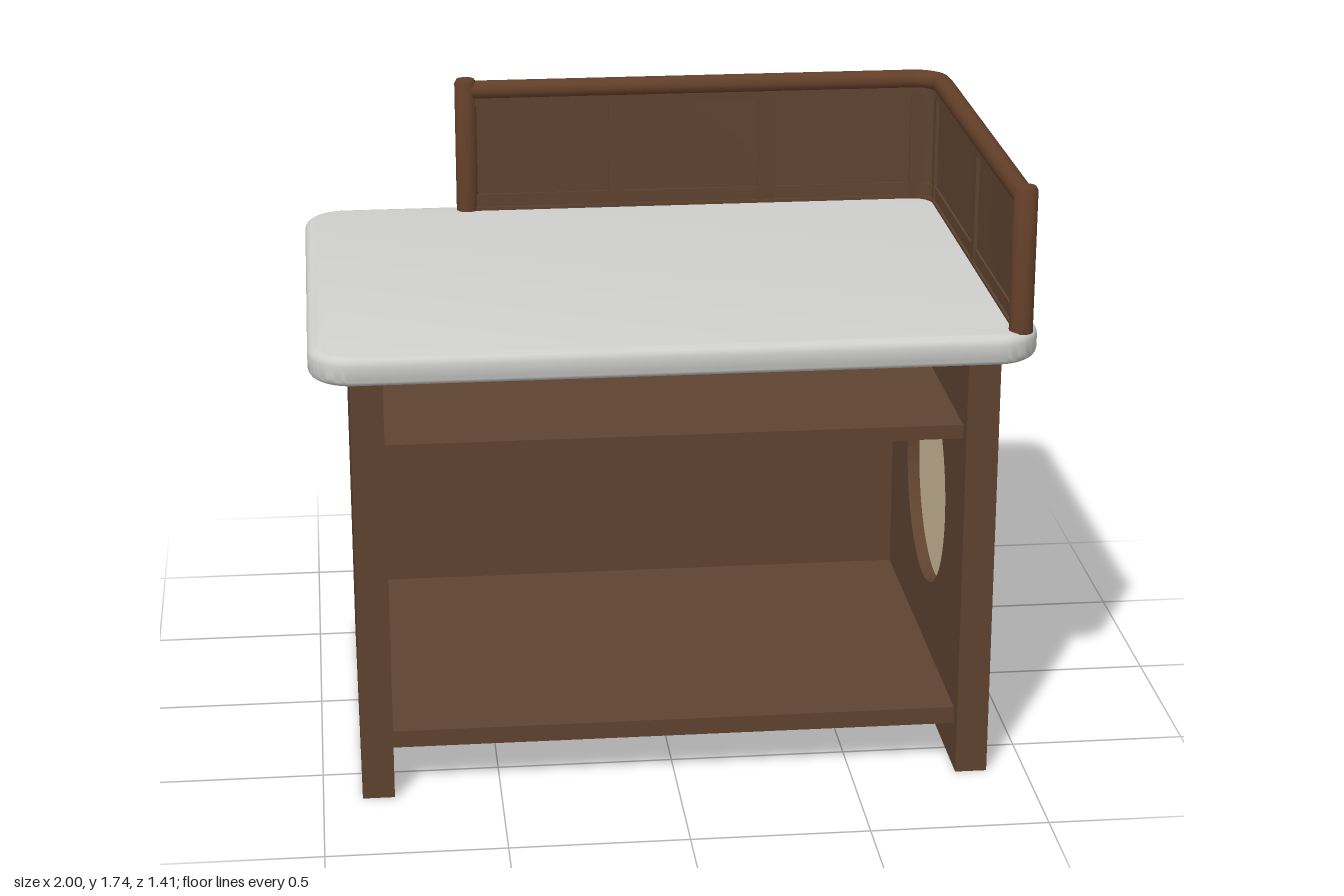
import * as THREE from 'three';
import { toCreasedNormals } from 'three/addons/utils/BufferGeometryUtils.js';

const mat = (name, color, side = THREE.FrontSide) => {
  const m = new THREE.MeshStandardMaterial({ color, side });
  m.name = name;
  return m;
};

export function createModel() {
  const wood = mat('walnut wood', 0x5f4330);
  const trim = mat('trim wood', 0x623f29);
  const stone = mat('pale stone', 0xcfcfcd);
  const paper = mat('cream paper', 0xcfba9c);
  const bamboo = mat('bamboo green', 0x56902f);
  const cut = mat('cut end brown', 0x4a3220);

  const model = new THREE.Group();
  model.name = 'counter';
  const add = (name, geo, material, x = 0, y = 0, z = 0, parent = model) => {
    const m = new THREE.Mesh(geo, material);
    m.name = name;
    m.position.set(x, y, z);
    parent.add(m);
    return m;
  };
  // Box given by its min and max corners
  const box = (name, material, [x0, y0, z0], [x1, y1, z1], parent) =>
    add(name, new THREE.BoxGeometry(x1 - x0, y1 - y0, z1 - z0), material,
      (x0 + x1) / 2, (y0 + y1) / 2, (z0 + z1) / 2, parent);

  // Small seeded generator for the uneven bamboo
  let seed = 7;
  const rand = () => (seed = (seed * 16807) % 2147483647) / 2147483647;

  // Cabinet
  box('leftPanel', wood, [-0.89, 0, -0.55], [-0.8, 1.24, 0.66]);
  box('backPanel', wood, [-0.8, 0, -0.55], [0.8, 1.24, -0.49]);
  box('lowerShelf', wood, [-0.8, 0.13, -0.49], [0.8, 0.18, 0.61]);
  box('upperShelf', wood, [-0.8, 1.0, -0.49], [0.8, 1.04, 0.61]);
  box('backPaper', paper, [-0.87, 0.1, -0.558], [0.87, 1.24, -0.55]);

  // Right panel with a round opening
  const WY = 0.68, WZ = 0.08, WR = 0.31;
  const side = new THREE.Shape();
  side.moveTo(-0.55, 0).lineTo(0.66, 0).lineTo(0.66, 1.24).lineTo(-0.55, 1.24).closePath();
  side.holes.push(new THREE.Path().absarc(WZ, WY, WR, 0, Math.PI * 2, true));
  const sideGeo = new THREE.ExtrudeGeometry(side, { depth: 0.09, bevelEnabled: false, curveSegments: 48 });
  sideGeo.rotateY(-Math.PI / 2);
  add('rightPanel', sideGeo, wood, 0.89);

  // Round window: ring, paper pane and lattice
  const win = new THREE.Group();
  win.name = 'roundWindow';
  win.position.set(0.89, WY, WZ);
  model.add(win);
  add('windowRing', new THREE.TorusGeometry(0.325, 0.028, 14, 64).rotateY(Math.PI / 2), trim, 0, 0, 0, win);
  add('windowPane', new THREE.CylinderGeometry(WR, WR, 0.008, 48).rotateZ(Math.PI / 2), paper, -0.05, 0, 0, win);
  for (const d of [-0.147, 0, 0.147]) {
    const len = 2 * Math.sqrt(WR * WR - d * d);
    const bar = new THREE.CylinderGeometry(0.01, 0.01, len, 8);
    add('latticeUpright', bar, trim, -0.022, 0, d, win);
    add('latticeCrossbar', bar.clone().rotateX(Math.PI / 2), trim, -0.017, d, 0, win);
  }

  // Worktop with rounded corners and edges
  const B = 0.025, X = 1 - B, Z = 0.705 - B, R = 0.1;
  const slab = new THREE.Shape();
  slab.absarc(X - R, Z - R, R, 0, Math.PI / 2);
  slab.absarc(-X + R, Z - R, R, Math.PI / 2, Math.PI);
  slab.absarc(-X + R, -Z + R, R, Math.PI, Math.PI * 1.5);
  slab.absarc(X - R, -Z + R, R, Math.PI * 1.5, Math.PI * 2);
  const slabGeo = new THREE.ExtrudeGeometry(slab, {
    depth: 0.085 - 2 * B, bevelSize: B, bevelThickness: B, bevelSegments: 4, curveSegments: 10,
  });
  slabGeo.rotateX(-Math.PI / 2);
  add('worktop', toCreasedNormals(slabGeo, 0.7), stone, 0, 1.24 + B, 0);

  // Railing that follows the back and right edges round one corner
  const rail = new THREE.Group();
  rail.name = 'railing';
  model.add(rail);
  const RX = 0.943, RZ = 0.66, C = 0.08, X0 = -0.505, Z1 = 0.645;
  const cx = RX - C, cy = RZ - C;
  const strip = (name, y0, y1, t) => {
    const s = new THREE.Shape();
    s.moveTo(X0, RZ + t).lineTo(cx, RZ + t);
    s.absarc(cx, cy, C + t, Math.PI / 2, 0, true);
    s.lineTo(RX + t, -Z1).lineTo(RX - t, -Z1).lineTo(RX - t, cy);
    s.absarc(cx, cy, C - t, 0, Math.PI / 2, false);
    s.lineTo(X0, RZ - t);
    const g = new THREE.ExtrudeGeometry(s, { depth: y1 - y0, bevelEnabled: false, curveSegments: 10 });
    g.rotateX(-Math.PI / 2);
    add(name, toCreasedNormals(g, 0.6), wood, 0, y0, 0, rail);
  };
  strip('railPanel', 1.32, 1.7, 0.01);
  strip('railLowerStrip', 1.32, 1.375 - 0.04, 0.022);
  strip('railLowerMoulding', 1.335, 1.375, 0.016);
  strip('railUpperStrip', 1.655, 1.7, 0.02);

  // Rounded handrail
  const path = new THREE.CurvePath();
  const v = (x, z) => new THREE.Vector3(x, 1.698, z);
  const K = C * 0.448;
  path.add(new THREE.LineCurve3(v(X0, -RZ), v(cx, -RZ)));
  path.add(new THREE.CubicBezierCurve3(v(cx, -RZ), v(RX - K, -RZ), v(RX, -RZ + K), v(RX, -cy)));
  path.add(new THREE.LineCurve3(v(RX, -cy), v(RX, Z1)));
  add('handrail', new THREE.TubeGeometry(path, 160, 0.03, 12), trim, 0, 0, 0, rail);

  // End posts with softened tops
  const postProfile = [[0, 0], [0.033, 0], [0.033, 0.402], [0.027, 0.413], [0, 0.416]]
    .map(([r, y]) => new THREE.Vector2(r, y));
  const postGeo = toCreasedNormals(new THREE.LatheGeometry(postProfile, 20), 0.6);
  add('endPost', postGeo, trim, X0, 1.32, -RZ, rail);
  add('endPost', postGeo, trim, RX, 1.32, Z1, rail);

  // Upright dividers on both sides of the panels
  for (const x of [-0.05, 0.41, 0.88])
    box('railDivider', wood, [x - 0.023, 1.32, -RZ - 0.02], [x + 0.023, 1.69, -RZ + 0.02], rail);
  for (const z of [0.04, -0.6])
    box('railDivider', wood, [RX - 0.02, 1.32, z - 0.023], [RX + 0.02, 1.69, z + 0.023], rail);

  // Bamboo screen: uneven upright canes with swollen joints
  const screen = new THREE.Group();
  screen.name = 'bambooScreen';
  model.add(screen);
  const COUNT = 22, H = 1.13;
  for (let i = 0; i < COUNT; i++) {
    const cane = new THREE.Group();
    cane.name = 'bambooCane';
    const r = 0.025 + rand() * 0.005;
    const pts = [new THREE.Vector2(r, 0)];
    const first = 0.12 + rand() * 0.15;
    for (let y = first; y < H - 0.05; y += 0.27) {
      pts.push(new THREE.Vector2(r * 0.92, y - 0.02), new THREE.Vector2(r * 1.08, y),
        new THREE.Vector2(r * 0.92, y + 0.02));
    }
    pts.push(new THREE.Vector2(r, H));
    add('cane', new THREE.LatheGeometry(pts, 10), bamboo, 0, -H / 2, 0, cane);
    add('caneBottom', new THREE.CircleGeometry(r, 10).rotateX(Math.PI / 2), cut, 0, -H / 2, 0, cane);
    add('caneTop', new THREE.CircleGeometry(r, 10).rotateX(-Math.PI / 2), cut, 0, H / 2, 0, cane);
    cane.position.set(-0.835 + (1.66 * i) / (COUNT - 1) + (rand() - 0.5) * 0.02, 0.1 + H / 2, -0.61);
    cane.rotation.z = (rand() - 0.5) * 0.035;
    screen.add(cane);
  }

  // Cross canes with cut ends and ties
  for (const y of [0.265, 1.065]) {
    const bar = new THREE.CylinderGeometry(0.018, 0.018, 1.76, 10).rotateZ(Math.PI / 2);
    add('crossCane', bar, [bamboo, cut, cut], 0, y, -0.658, screen);
    for (let i = 0; i < 7; i++) {
      add('tie', new THREE.TorusGeometry(0.018, 0.005, 6, 12).rotateY(Math.PI / 2), cut,
        -0.72 + i * 0.24, y, -0.655, screen);
    }
  }
  return model;
}
